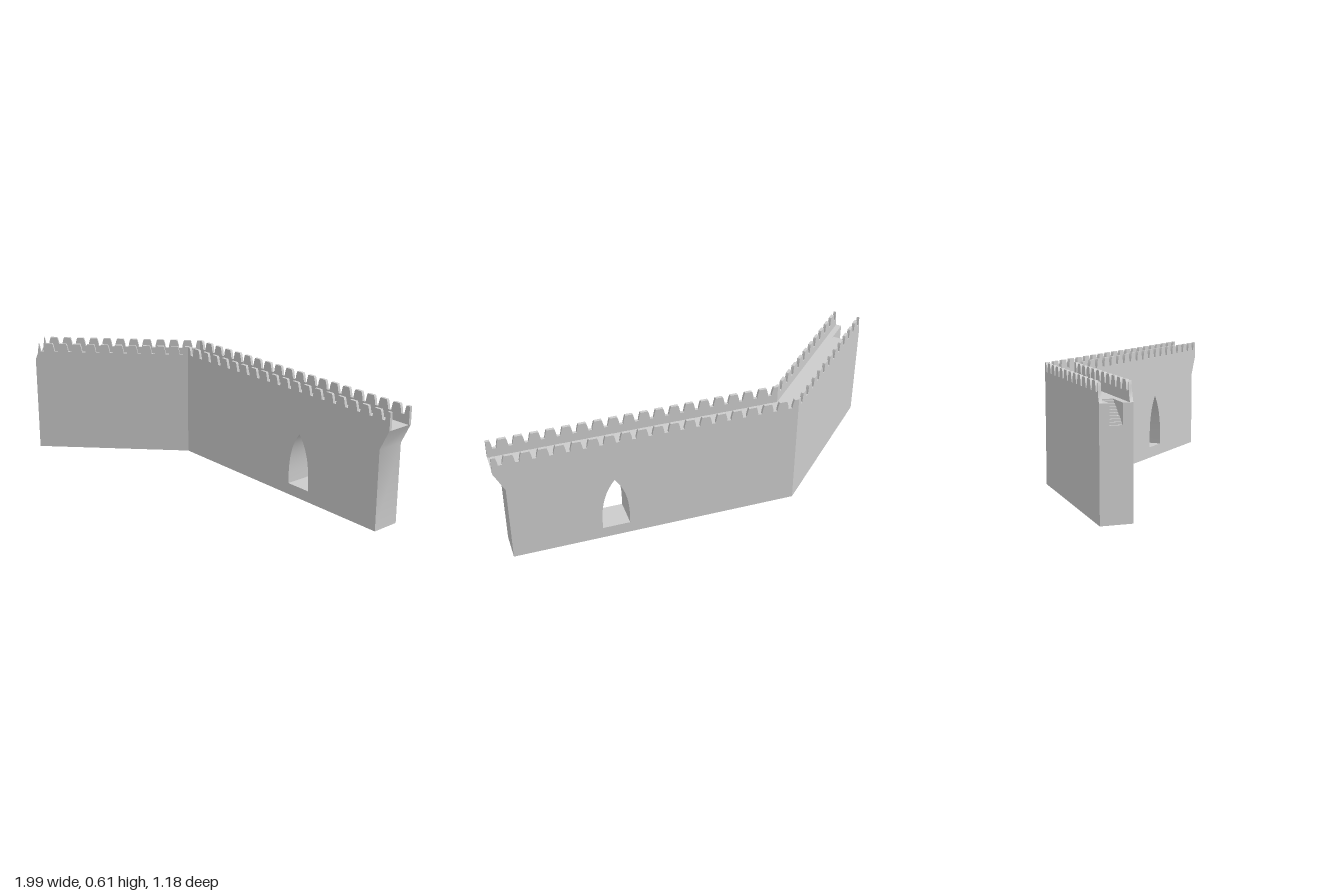
import * as THREE from 'three';
import { toCreasedNormals } from 'three/addons/utils/BufferGeometryUtils.js';

const T = 0.15;                       // wall thickness
const K = Math.tan(Math.PI / 8);      // mitre slope at the 45 degree bend
const FLOOR = 0.52, TOP = 0.61, LEDGE = 0.42;
const LEN_A = 0.855, LEN_B = 1.457;
const RAIL = 0.015;                   // parapet thickness

const stone = new THREE.MeshStandardMaterial({ color: 0xcccccc });
stone.name = 'stone grey';

function polygon(points) {
  return new THREE.Shape(points.map(([x, y]) => new THREE.Vector2(x, y)));
}

// Extrude a side profile from z0 to z1 and mitre the vertices that lie at x = bend
function slab(name, shape, z0, z1, bend = null, slope = 0) {
  let geo = new THREE.ExtrudeGeometry(shape, { depth: z1 - z0, bevelEnabled: false });
  geo.translate(0, 0, z0);
  if (bend !== null) {
    const p = geo.attributes.position;
    for (let i = 0; i < p.count; i++) {
      if (Math.abs(p.getX(i) - bend) < 1e-5) p.setX(i, slope * p.getZ(i));
    }
    geo.computeVertexNormals();
  }
  geo = toCreasedNormals(geo, 0.5);
  const mesh = new THREE.Mesh(geo, stone);
  mesh.name = name;
  return mesh;
}

// Crenellated outline: flared notches between merlons, from x0 to x1
function battlement(x0, x1, startSlope) {
  const n = Math.round((x1 - x0) / 0.078);
  const p = (x1 - x0) / n;
  const pts = [[x0, FLOOR]];
  if (startSlope) pts.push([x0 + 0.014, 0.555], [x0 + 0.018, 0.59], [x0 + 0.024, TOP]);
  else pts.push([x0, TOP]);
  const notch = [[-0.26, TOP], [-0.22, 0.603], [-0.16, 0.585], [-0.12, 0.565]];
  for (let i = 0; i < n; i++) {
    const c = x0 + (i + 0.5) * p;
    notch.forEach(([f, y]) => pts.push([c + f * p, y]));
    [...notch].reverse().forEach(([f, y]) => pts.push([c - f * p, y]));
  }
  pts.push([x1, TOP], [x1, FLOOR]);
  return polygon(pts);
}

const rect = (x0, x1, y0, y1) => polygon([[x0, y0], [x1, y0], [x1, y1], [x0, y1]]);

// Straight wing with a stairwell sunk into its free end
function straightWing() {
  const g = new THREE.Group();
  g.name = 'straightWing';
  const well = -LEN_A + 0.14, zBack = -0.105, zFront = -0.045;
  g.add(slab('straightWall', rect(-LEN_A, 0, 0, LEDGE), -T, 0, 0, -K));
  g.add(slab('walkwayFront', rect(-LEN_A, 0, LEDGE, FLOOR), zFront, 0, 0, -K));
  g.add(slab('walkwayMiddle', rect(well, 0, LEDGE, FLOOR), zBack, zFront, 0, -K));
  g.add(slab('walkwayBack', rect(-LEN_A, 0, LEDGE, FLOOR), -T, zBack, 0, -K));

  // stairs descending towards the free end
  const steps = 9, run = 0.14 / steps;
  const profile = [[-LEN_A, LEDGE]];
  for (let i = 0; i < steps; i++) {
    const y = LEDGE + (i + 0.5) * 0.1 / steps;
    profile.push([-LEN_A + i * run, y], [-LEN_A + (i + 1) * run, y]);
  }
  profile.push([well, LEDGE]);
  g.add(slab('stairs', polygon(profile), zBack, zFront));

  [['Front', -RAIL, 0], ['Back', -T, -T + RAIL]].forEach(([side, z0, z1]) => {
    const end = -K * (z0 + z1) / 2;
    g.add(slab('straightBattlement' + side, battlement(-LEN_A, end, true), z0, z1, end, -K));
  });
  return g;
}

// Angled wing with a corbelled end and a pointed archway
function angledWing() {
  const g = new THREE.Group();
  g.name = 'angledWing';
  const foot = LEN_B - 0.052;
  const wall = polygon([[0, 0], [foot, 0], [foot, 0.415], [LEN_B, FLOOR], [0, FLOOR]]);

  const c = 0.884, w = 0.07;
  const arch = new THREE.Path();
  arch.moveTo(c - w, 0.06);
  arch.lineTo(c - w, 0.105);
  arch.bezierCurveTo(c - w, 0.2, c - w * 0.75, 0.28, c, 0.345);
  arch.bezierCurveTo(c + w * 0.75, 0.28, c + w, 0.2, c + w, 0.105);
  arch.lineTo(c + w, 0.06);
  arch.closePath();
  wall.holes.push(arch);
  g.add(slab('angledWall', wall, -T, 0, 0, K));

  [['Front', -RAIL, 0], ['Back', -T, -T + RAIL]].forEach(([side, z0, z1]) => {
    const start = K * (z0 + z1) / 2;
    g.add(slab('angledBattlement' + side, battlement(start, LEN_B, false), z0, z1, start, K));
  });
  g.rotation.y = -Math.PI / 4;
  return g;
}

export function createModel() {
  const model = new THREE.Group();
  model.name = 'castleWall';
  // both wings meet at the front corner of the bend
  for (const wing of [straightWing(), angledWing()]) {
    wing.position.set(-0.145, 0, -0.445);
    model.add(wing);
  }
  return model;
}
